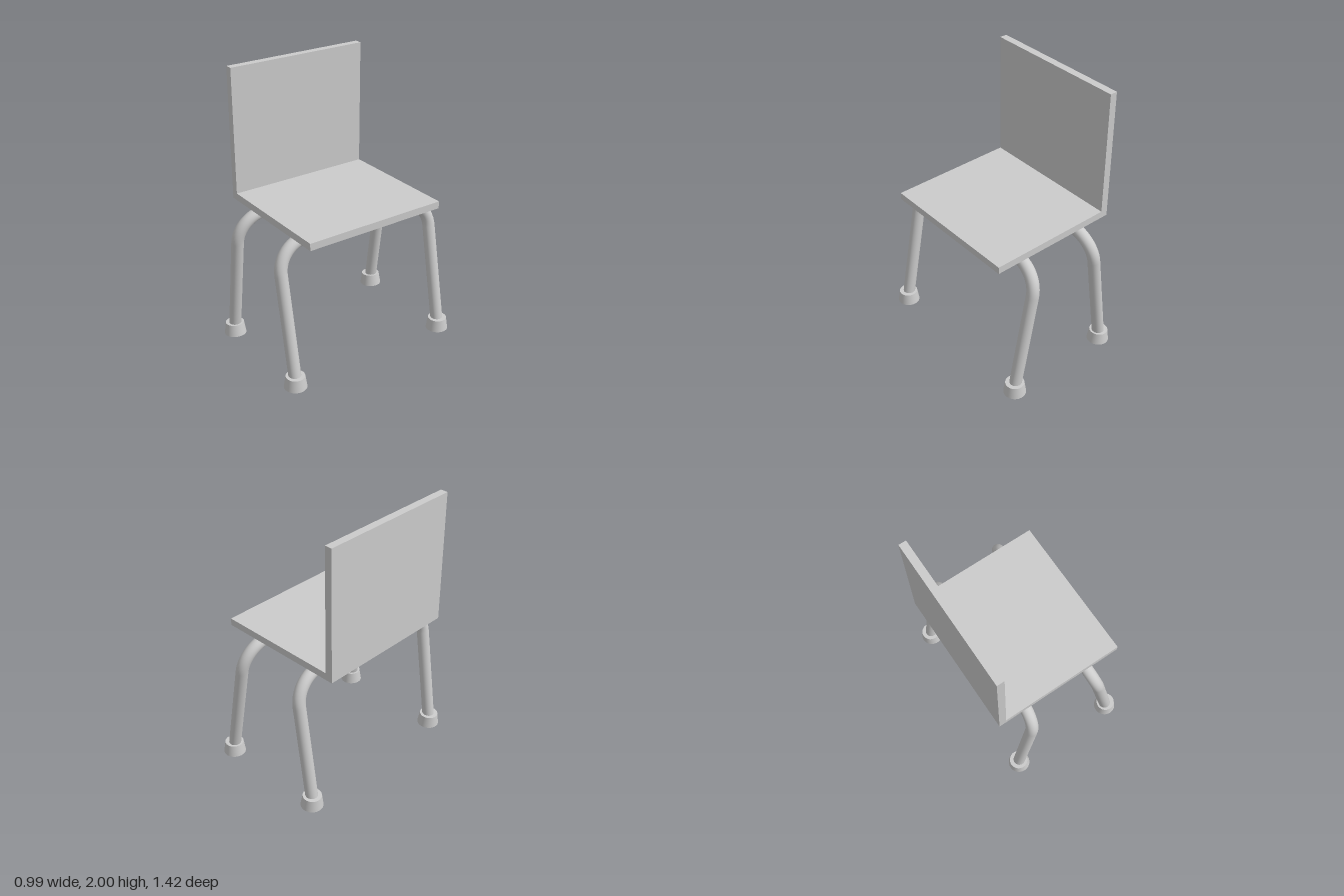
import * as THREE from 'three';

const material = new THREE.MeshStandardMaterial({ color: 0xcccccc });

function addMesh(parent, name, geometry) {
  const mesh = new THREE.Mesh(geometry, material);
  mesh.name = name;
  parent.add(mesh);
  return mesh;
}

// Bent tube: two splayed legs joined by a bar under the seat
function legFrameGeometry(topX, footX) {
  const topY = 0.997, bendY = 0.8, endY = 0.06, legZ = 0.629, barZ = 0.425;
  const slope = (footX - topX) / (topY - 0.1);
  const at = (y, z) => new THREE.Vector3(topX + slope * (topY - y), y, z);
  const k = 0.5523; // quarter-circle handle length
  const handleY = bendY + k * (topY - bendY);
  const handleZ = barZ + k * (legZ - barZ);

  const path = new THREE.CurvePath();
  path.add(new THREE.LineCurve3(at(endY, legZ), at(bendY, legZ)));
  path.add(new THREE.CubicBezierCurve3(
    at(bendY, legZ), at(handleY, legZ), at(topY, handleZ), at(topY, barZ)));
  path.add(new THREE.LineCurve3(at(topY, barZ), at(topY, -barZ)));
  path.add(new THREE.CubicBezierCurve3(
    at(topY, -barZ), at(topY, -handleZ), at(handleY, -legZ), at(bendY, -legZ)));
  path.add(new THREE.LineCurve3(at(bendY, -legZ), at(endY, -legZ)));
  return new THREE.TubeGeometry(path, 120, 0.044, 28);
}

export function createModel() {
  const group = new THREE.Group();
  group.name = 'chair';

  // Seat and backrest as one L-shaped shell
  const profile = new THREE.Shape([
    [-0.497, 1.04], [0.473, 1.04], [0.473, 1.092],
    [-0.443, 1.092], [-0.443, 2], [-0.497, 2],
  ].map(([x, y]) => new THREE.Vector2(x, y)));
  const shell = addMesh(group, 'seatAndBackrest',
    new THREE.ExtrudeGeometry(profile, { depth: 1.066, bevelEnabled: false }));
  shell.position.z = -0.531;

  // Leg frames with tapered rubber feet
  const frames = [
    { name: 'back', topX: -0.269, legX: -0.396, footX: -0.402, tilt: 0.05 },
    { name: 'front', topX: 0.23, legX: 0.403, footX: 0.413, tilt: 0 },
  ];
  for (const { name, topX, legX, footX, tilt } of frames) {
    addMesh(group, name + 'LegFrame', legFrameGeometry(topX, legX));
    for (const side of [1, -1]) {
      const foot = addMesh(group, name + (side > 0 ? 'Left' : 'Right') + 'Foot',
        new THREE.CylinderGeometry(0.067, 0.08, 0.087, 40));
      foot.position.set(footX, 0.048, side * 0.629);
      foot.rotation.z = tilt;
    }
  }
  return group;
}
